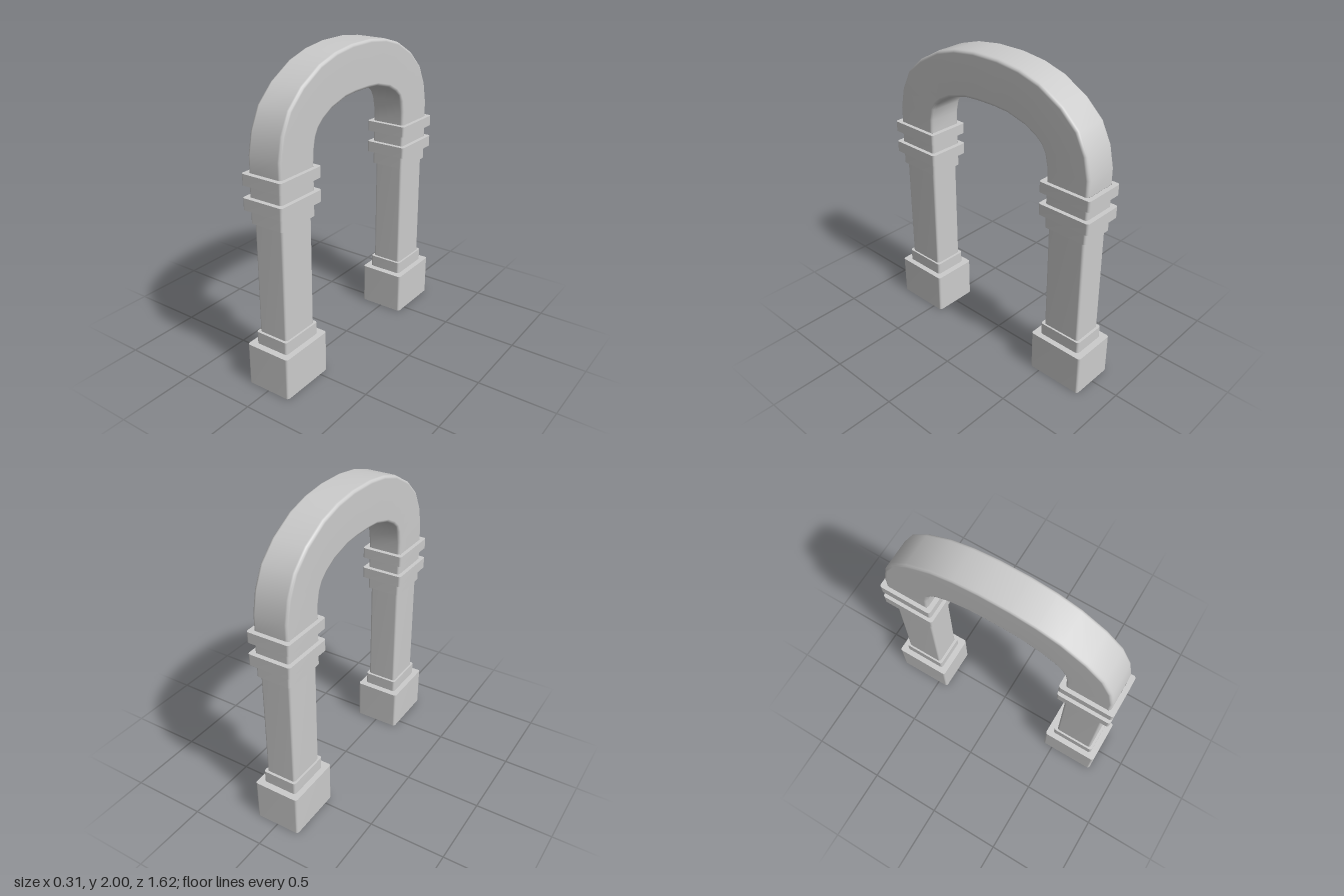
import * as THREE from 'three';
import { mergeGeometries } from 'three/addons/utils/BufferGeometryUtils.js';

const material = new THREE.MeshStandardMaterial({ color: 0xcccccc, side: THREE.DoubleSide });

// Rounded rectangle as [u, v] points, corner by corner
function section(hu, hv, r = 0.016, steps = 3) {
  const pts = [];
  [[1, 1], [-1, 1], [-1, -1], [1, -1]].forEach(([su, sv], k) => {
    for (let i = 0; i <= steps; i++) {
      const a = (k + i / steps) * Math.PI / 2;
      pts.push([su * (hu - r) + r * Math.cos(a), sv * (hv - r) + r * Math.sin(a)]);
    }
  });
  return pts;
}

// Horizontal section at height y
const ring = (hx, hz, y) => section(hx, hz).map(([x, z]) => [x, y, z]);

// Open skin through a list of closed rings
function loft(rings) {
  const n = rings[0].length, index = [];
  for (let i = 0; i < rings.length - 1; i++) {
    for (let j = 0; j < n; j++) {
      const a = i * n + j, b = i * n + (j + 1) % n, c = a + n, d = b + n;
      index.push(a, c, b, b, c, d);
    }
  }
  const geo = new THREE.BufferGeometry();
  geo.setAttribute('position', new THREE.Float32BufferAttribute(rings.flat(2), 3));
  geo.setIndex(index);
  geo.computeVertexNormals();
  return geo;
}

function addMesh(parent, geo, name) {
  const mesh = new THREE.Mesh(geo, material);
  mesh.name = name;
  parent.add(mesh);
}

// Pillar courses from the ground up: name, half width x, half depth z, bottom y
const courses = [
  ['base', 0.154, 0.192, 0],
  ['plinth', 0.116, 0.149, 0.275],
  ['shaft', 0.103, 0.131, 0.355],
  ['collar', 0.116, 0.149, 1.07],
  ['lowerRing', 0.143, 0.179, 1.157],
  ['neck', 0.116, 0.149, 1.23],
  ['upperRing', 0.143, 0.179, 1.305],
  ['archSeat', 0.117, 0.148, 1.374],
];

function pillar(name, z) {
  const group = new THREE.Group();
  group.name = name;
  for (let i = 0; i < courses.length - 1; i++) {
    const [part, hx, hz, y0] = courses[i];
    const [, nx, nz, y1] = courses[i + 1];
    // upright walls, then the ledge to the next course
    const walls = loft([ring(hx, hz, y0), ring(hx, hz, y1)]);
    const ledge = loft([ring(hx, hz, y1), ring(nx, nz, y1)]);
    addMesh(group, mergeGeometries([walls, ledge]), part);
  }
  group.position.z = z;
  return group;
}

// Half of the arch: outer z, y and inner z, y at each station
const halfArch = [
  [0.767, 1.374, 0.472, 1.374],
  [0.767, 1.475, 0.468, 1.464],
  [0.738, 1.612, 0.451, 1.54],
  [0.674, 1.74, 0.424, 1.586],
  [0.56, 1.846, 0.38, 1.623],
  [0.4, 1.936, 0.3, 1.666],
  [0.255, 1.979, 0.164, 1.703],
  [0.095, 2.0, 0.064, 1.71],
];

function archGeometry() {
  const mirrored = halfArch.map(([oz, oy, iz, iy]) => [-oz, oy, -iz, iy]).reverse();
  return loft([...halfArch, ...mirrored].map(([oz, oy, iz, iy]) => {
    const len = Math.hypot(oz - iz, oy - iy);
    const dz = (oz - iz) / len, dy = (oy - iy) / len;
    return section(0.117, len / 2, 0.02).map(([u, v]) =>
      [u, (oy + iy) / 2 + dy * v, (oz + iz) / 2 + dz * v]);
  }));
}

export function createModel() {
  const model = new THREE.Group();
  model.name = 'archway';
  model.add(pillar('frontPillar', 0.62), pillar('backPillar', -0.62));
  addMesh(model, archGeometry(), 'arch');
  return model;
}
